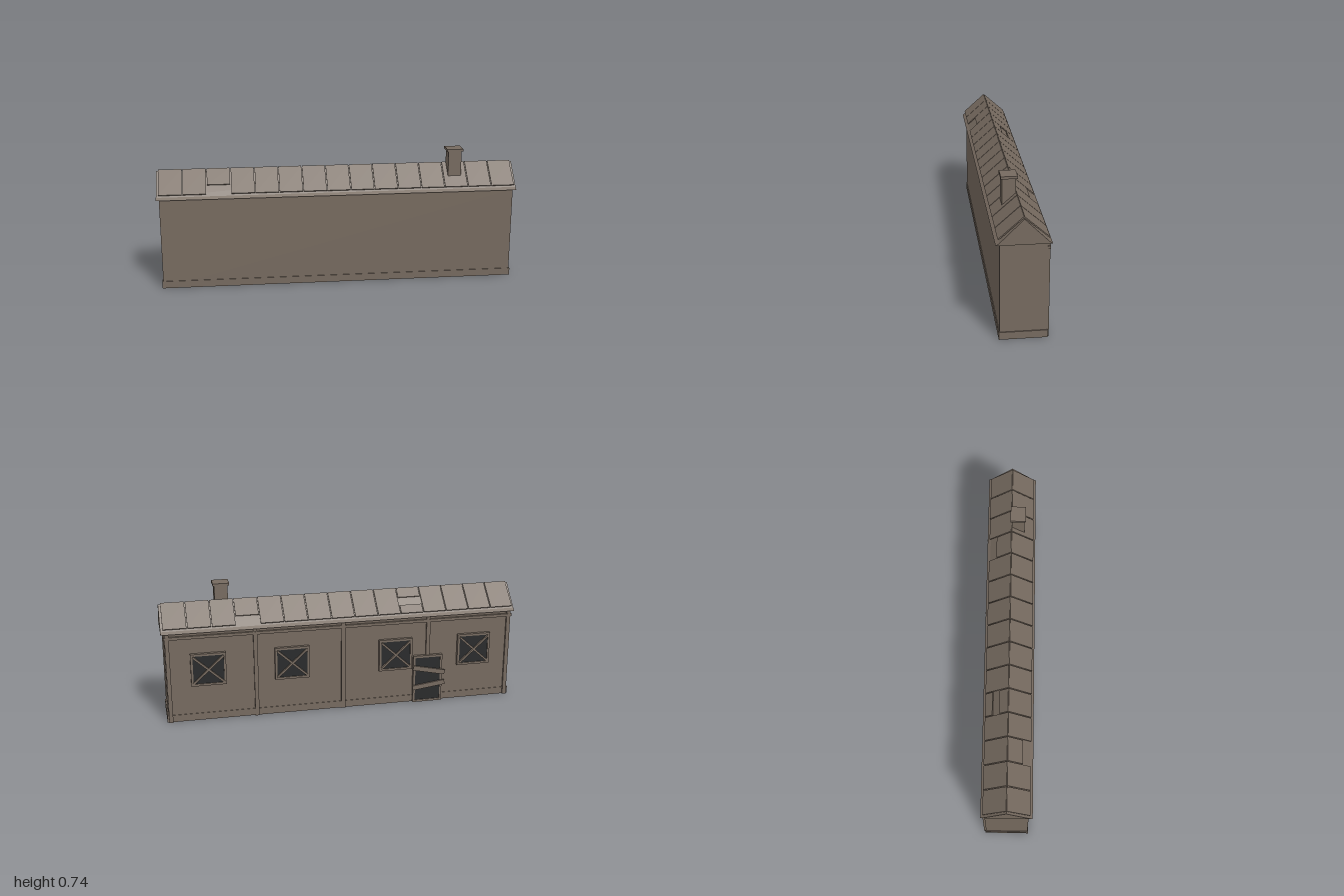
import * as THREE from 'three';

export function createModel() {
  const root = new THREE.Group();
  root.name = 'longHouse';
  const timber = new THREE.MeshStandardMaterial({ color: 0x766a5f });
  timber.name = 'weathered brown';
  const dark = new THREE.MeshStandardMaterial({ color: 0x292a2b });
  dark.name = 'dark opening';

  const add = (name, geometry, material = timber, parent = root) => {
    const mesh = new THREE.Mesh(geometry, material);
    mesh.name = name;
    parent.add(mesh);
    return mesh;
  };
  // box given by its min and max on each axis
  const box = (name, x0, x1, y0, y1, z0, z1, material, parent) => {
    const mesh = add(name, new THREE.BoxGeometry(x1 - x0, y1 - y0, z1 - z0), material, parent);
    mesh.position.set((x0 + x1) / 2, (y0 + y1) / 2, (z0 + z1) / 2);
    return mesh;
  };
  // rectangular frame with an open middle
  const frame = (name, x, y, w, h, border, z0, z1, parent) => {
    const rect = (shape, a, b) => shape.moveTo(-a, -b).lineTo(a, -b).lineTo(a, b).lineTo(-a, b).lineTo(-a, -b);
    const shape = rect(new THREE.Shape(), w / 2, h / 2);
    shape.holes.push(rect(new THREE.Path(), w / 2 - border, h / 2 - border));
    const mesh = add(name, new THREE.ExtrudeGeometry(shape, { depth: z1 - z0, bevelEnabled: false }), timber, parent);
    mesh.position.set(x, y, z0);
  };

  // walls and plinth
  box('walls', -0.98, 0.98, 0, 0.512, -0.112, 0.12);
  box('plinth', -0.985, 0.985, 0, 0.04, -0.115, 0.124);

  // gabled roof body with flared eaves
  const gable = new THREE.Shape();
  [[0.14, 0.511], [0.122, 0.524], [0.004, 0.642], [-0.114, 0.524], [-0.132, 0.511]]
    .forEach(([z, y], i) => (i ? gable.lineTo(-z, y) : gable.moveTo(-z, y)));
  const roof = add('roofBody', new THREE.ExtrudeGeometry(gable, { depth: 1.99, bevelEnabled: false }));
  roof.rotation.y = Math.PI / 2;
  roof.position.x = -0.995;

  // roof panels on both slopes, a few broken
  const panels = new THREE.Group();
  panels.name = 'roofPanels';
  root.add(panels);
  const run = 0.123, drop = 0.11, count = 15, pitch = 1.97 / count;
  const slope = Math.hypot(run, drop), angle = Math.atan2(drop, run);
  const broken = { '1,2': [[0, 0.64]], '-1,11': [[0, 0.66]], '-1,4': [[0, 0.37], [0.68, 1]] };
  for (const side of [1, -1]) {
    for (let i = 0; i < count; i++) {
      for (const [t0, t1] of broken[`${side},${i}`] || [[0, 1]]) {
        const panel = add('roofPanel', new THREE.BoxGeometry(pitch - 0.005, 0.006, slope * (t1 - t0)), timber, panels);
        const t = (t0 + t1) / 2;
        panel.position.set(-0.985 + pitch * (i + 0.5), 0.647 - drop * t, 0.004 + side * run * t);
        panel.rotation.x = side * angle;
      }
    }
  }

  // chimney
  box('chimney', 0.617, 0.69, 0.57, 0.726, 0.005, 0.076);
  box('chimneyCap', 0.608, 0.698, 0.725, 0.739, -0.002, 0.082);

  // back wall posts and top rail
  for (const x of [-0.965, -0.49, 0, 0.49, 0.965]) box('wallPost', x - 0.011, x + 0.011, 0, 0.512, -0.123, -0.111);
  box('topRail', -0.983, 0.983, 0.477, 0.493, -0.125, -0.111);

  // cross-barred windows
  for (const x of [-0.76, -0.3, 0.29, 0.75]) {
    const group = new THREE.Group();
    group.name = 'window';
    root.add(group);
    const y = 0.298, w = 0.192, h = 0.184;
    frame('windowFrame', x, y, w, h, 0.012, -0.131, -0.111, group);
    box('windowPane', x - w / 2 + 0.01, x + w / 2 - 0.01, y - h / 2 + 0.01, y + h / 2 - 0.01, -0.126, -0.118, dark, group);
    for (const s of [1, -1]) {
      const bar = add('windowCrossBar', new THREE.BoxGeometry(0.225, 0.011, 0.012), timber, group);
      bar.position.set(x, y, -0.131);
      bar.rotation.z = s * Math.atan2(0.155, 0.17);
    }
  }

  // boarded-up doorway
  const door = new THREE.Group();
  door.name = 'door';
  root.add(door);
  frame('doorFrame', -0.49, 0.14, 0.17, 0.28, 0.012, -0.131, -0.111, door);
  box('doorOpening', -0.565, -0.415, 0.001, 0.27, -0.127, -0.119, dark, door);
  for (const [y, tilt] of [[0.193, 0.21], [0.102, -0.13]]) {
    const plank = add('doorPlank', new THREE.BoxGeometry(0.19, 0.027, 0.009), timber, door);
    plank.position.set(-0.495, y, -0.1355);
    plank.rotation.z = tilt;
  }
  return root;
}
